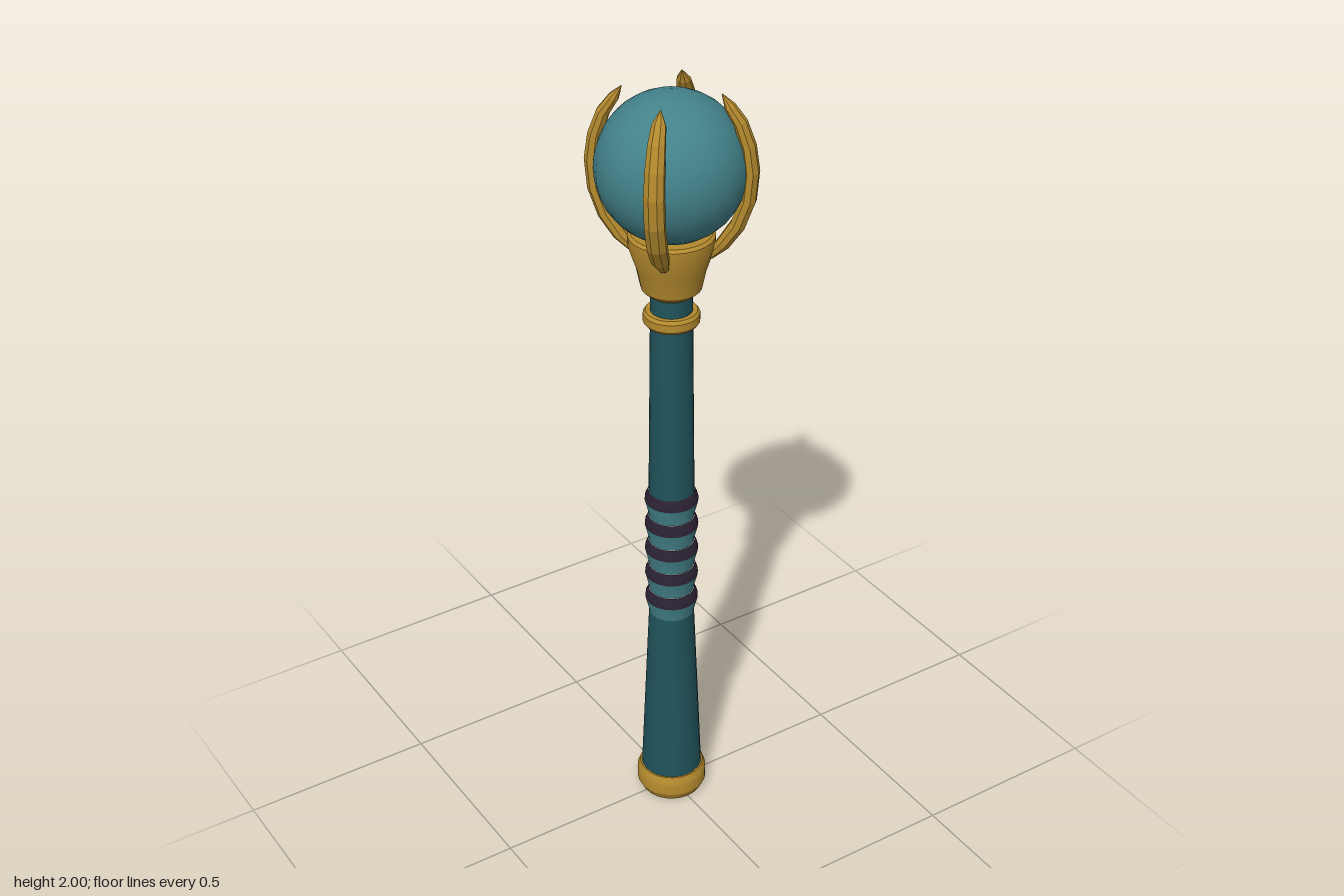
import * as THREE from 'three';
import { toCreasedNormals } from 'three/addons/utils/BufferGeometryUtils.js';

const mat = (name, color) => {
  const m = new THREE.MeshStandardMaterial({ color });
  m.name = name;
  return m;
};

// Turned part from [radius, height] pairs, bottom to top
function turned(name, profile, material, sides = 24) {
  const points = profile.map(([r, y]) => new THREE.Vector2(r, y));
  const mesh = new THREE.Mesh(toCreasedNormals(new THREE.LatheGeometry(points, sides), 0.45), material);
  mesh.name = name;
  return mesh;
}

// Faceted claw: octagonal sections swept along an arc in the x-y plane
function clawGeometry() {
  const path = [[0.09, 1.60], [0.122, 1.635], [0.155, 1.685], [0.178, 1.75], [0.184, 1.82],
    [0.176, 1.88], [0.157, 1.935], [0.132, 1.972], [0.114, 2.0]];
  const scale = [0.55, 0.9, 1, 1, 1, 0.95, 0.85, 0.68, 0.06];
  const sides = 8, pos = [], index = [];
  path.forEach(([x, y], i) => {
    const a = path[Math.max(i - 1, 0)], b = path[Math.min(i + 1, path.length - 1)];
    const t = new THREE.Vector2(b[0] - a[0], b[1] - a[1]).normalize();
    for (let k = 0; k < sides; k++) {
      const ang = (k + 0.5) / sides * Math.PI * 2;
      const n = Math.cos(ang) * 0.019 * scale[i];
      pos.push(x + t.y * n, y - t.x * n, Math.sin(ang) * 0.025 * scale[i]);
    }
  });
  for (let i = 0; i < path.length - 1; i++) {
    for (let k = 0; k < sides; k++) {
      const a = i * sides + k, b = i * sides + (k + 1) % sides;
      index.push(a, a + sides, b, b, a + sides, b + sides);
    }
  }
  // End caps
  const last = (path.length - 1) * sides;
  for (let k = 1; k < sides - 1; k++) index.push(0, k, k + 1, last, last + k + 1, last + k);
  const g = new THREE.BufferGeometry();
  g.setAttribute('position', new THREE.Float32BufferAttribute(pos, 3));
  g.setIndex(index);
  const flat = g.toNonIndexed();
  flat.computeVertexNormals();
  return flat;
}

export function createModel() {
  const gold = mat('gold', 0xb48a2e);
  const teal = mat('light teal', 0x43828a);
  const darkTeal = mat('dark teal', 0x20535b);
  const plum = mat('dark plum', 0x2b2233);
  const model = new THREE.Group();
  model.name = 'scepter';

  // Pommel, shaft and collar
  model.add(
    turned('pommel', [[0, 0], [0.08, 0], [0.091, 0.022], [0.091, 0.055], [0.083, 0.075], [0, 0.075]], gold),
    turned('lowerShaft', [[0.079, 0.07], [0.057, 0.59]], darkTeal),
    turned('upperShaft', [[0.057, 0.93], [0.05, 1.51]], darkTeal),
    turned('collar', [[0.05, 1.412], [0.062, 1.412], [0.068, 1.42], [0.068, 1.44], [0.062, 1.448], [0.05, 1.448]], gold),
  );

  // Wrapped grip: each bulge is dark above and light below
  const grip = new THREE.Group();
  grip.name = 'grip';
  for (let i = 0; i < 5; i++) {
    const y = 0.63 + i * 0.074;
    grip.add(
      turned('gripBand', [[0.067, y - 0.013], [0.066, y - 0.002], [0.058, y + 0.016]], plum),
      turned('gripWrap', [[0.057, y - 0.058], [0.059, y - 0.045], [0.067, y - 0.013]], teal),
    );
  }
  model.add(grip);

  // Cup holding the orb
  model.add(turned('cup', [[0, 1.495], [0.058, 1.495], [0.072, 1.508], [0.083, 1.56], [0.103, 1.62],
    [0.103, 1.645], [0.096, 1.652], [0, 1.652]], gold));

  const orb = new THREE.Mesh(new THREE.SphereGeometry(0.178, 24, 18), teal);
  orb.name = 'orb';
  orb.position.y = 1.815;
  model.add(orb);

  // Four claws on the diagonals
  const geometry = clawGeometry();
  for (let i = 0; i < 4; i++) {
    const claw = new THREE.Mesh(geometry, gold);
    claw.name = 'claw';
    claw.rotation.y = Math.PI / 4 + i * Math.PI / 2;
    model.add(claw);
  }
  return model;
}
